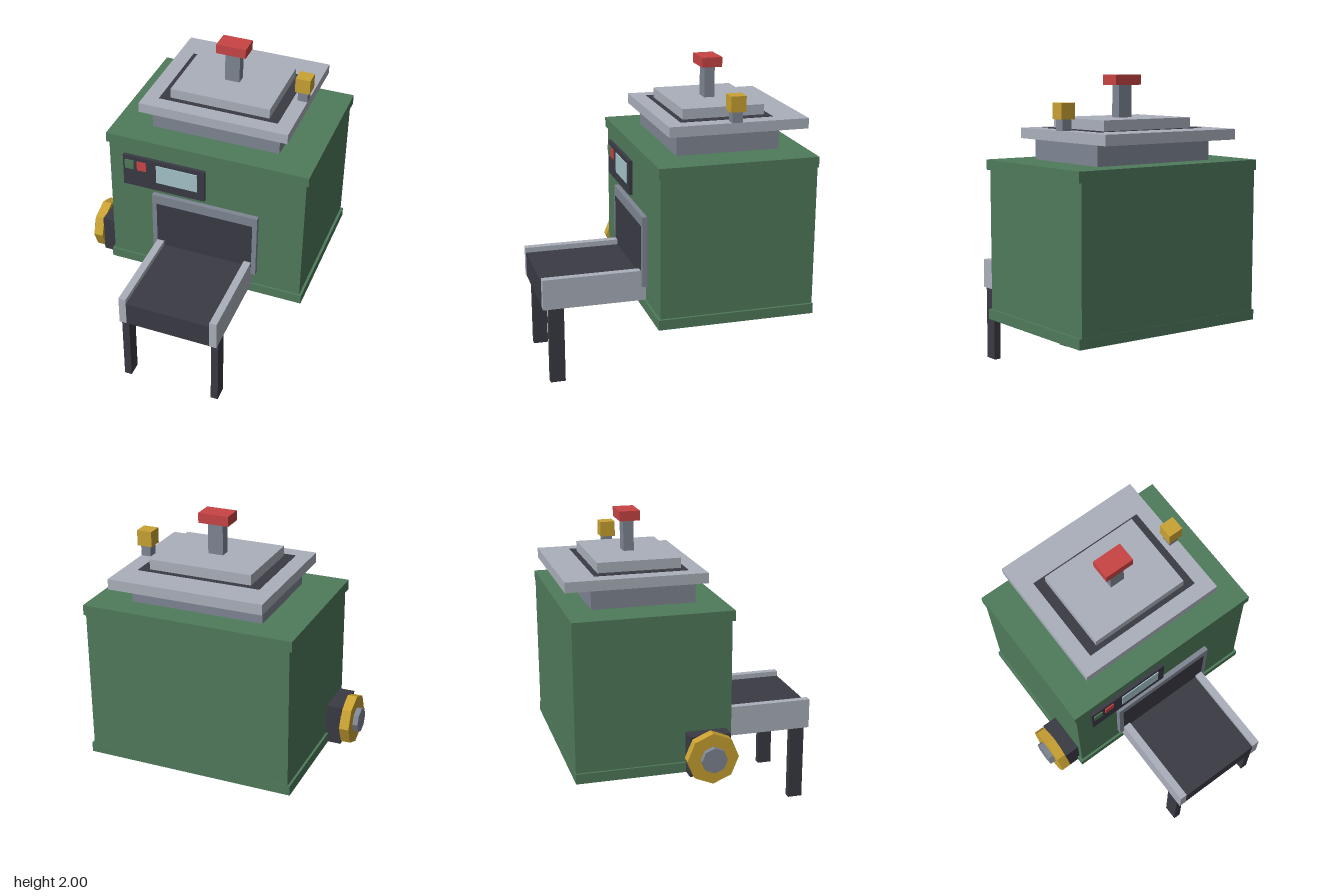
import * as THREE from 'three';

const material = (name, color) => {
  const m = new THREE.MeshStandardMaterial({ color });
  m.name = name;
  return m;
};

export function createModel() {
  const green = material('greenPaint', 0x4f7a5b);
  const light = material('lightSteel', 0xabb0bb);
  const steel = material('steel', 0x7f8693);
  const dark = material('darkIron', 0x3a3a44);
  const brass = material('brass', 0xc9a233);
  const red = material('red', 0xc94444);
  const glass = material('screenGlass', 0xa5c3ca);

  const model = new THREE.Group();
  model.name = 'machine';

  // Box given by its minimum and maximum on each axis
  const box = (name, mat, [x0, x1], [y0, y1], [z0, z1]) => {
    const mesh = new THREE.Mesh(new THREE.BoxGeometry(x1 - x0, y1 - y0, z1 - z0), mat);
    mesh.position.set((x0 + x1) / 2, (y0 + y1) / 2, (z0 + z1) / 2);
    mesh.name = name;
    model.add(mesh);
    return mesh;
  };

  // Eight-sided disc with its axis along x
  const disc = (name, mat, radius, [x0, x1]) => {
    const geometry = new THREE.CylinderGeometry(radius, radius, x1 - x0, 8).toNonIndexed();
    geometry.computeVertexNormals();
    const mesh = new THREE.Mesh(geometry, mat);
    mesh.rotation.z = Math.PI / 2;
    mesh.position.set((x0 + x1) / 2, 0.57, 0);
    mesh.name = name;
    model.add(mesh);
  };

  // Cabinet with a lower and an upper rim, flush at the back
  box('cabinet', green, [-0.58, 0.755], [0.45, 1.46], [-0.833, 0.167]);
  box('lowerRim', green, [-0.595, 0.772], [0.437, 0.502], [-0.835, 0.182]);
  box('upperRim', green, [-0.595, 0.772], [1.402, 1.468], [-0.835, 0.182]);

  // Hopper on top
  box('hopperNeck', steel, [-0.343, 0.52], [1.468, 1.602], [-0.665, 0]);
  box('hopperFlange', light, [-0.41, 0.588], [1.602, 1.668], [-0.835, 0.065]);
  box('hopperOpening', dark, [-0.31, 0.49], [1.667, 1.67], [-0.635, -0.035]);
  box('hopperLid', light, [-0.243, 0.425], [1.668, 1.735], [-0.6, -0.067]);
  box('lidStem', steel, [0.041, 0.14], [1.735, 1.937], [-0.367, -0.299]);
  box('lidHandle', red, [-0.01, 0.188], [1.937, 2], [-0.4, -0.268]);

  // Valve on the flange
  box('valveStem', steel, [0.523, 0.588], [1.668, 1.737], [-0.4, -0.333]);
  box('valveKnob', brass, [0.506, 0.604], [1.737, 1.836], [-0.416, -0.318]);

  // Control panel
  box('controlPanel', dark, [-0.478, 0.09], [1.105, 1.334], [0.16, 0.19]);
  box('startButton', green, [-0.463, -0.4], [1.238, 1.303], [0.189, 0.198]);
  box('stopButton', red, [-0.378, -0.313], [1.238, 1.303], [0.189, 0.198]);
  box('screen', glass, [-0.244, 0.04], [1.17, 1.303], [0.189, 0.196]);

  // Outlet doorway
  box('doorFrame', steel, [-0.275, 0.455], [0.602, 1.069], [0.16, 0.2]);
  box('doorOpening', dark, [-0.243, 0.423], [0.6, 1.002], [0.194, 0.202]);

  // Outfeed conveyor with side rails and legs
  box('conveyorBelt', dark, [-0.195, 0.374], [0.502, 0.668], [0.16, 0.833]);
  for (const [side, x0] of [['right', -0.243], ['left', 0.374]]) {
    box(side + 'Rail', light, [x0, x0 + 0.049], [0.502, 0.702], [0.16, 0.835]);
    box(side + 'Leg', dark, [x0, x0 + 0.049], [0, 0.502], [0.703, 0.8]);
  }

  // Hand wheel on the right side
  box('wheelMount', dark, [-0.68, -0.575], [0.438, 0.702], [-0.132, 0.132]);
  disc('handWheel', brass, 0.166, [-0.742, -0.678]);
  disc('wheelHub', steel, 0.083, [-0.777, -0.74]);

  return model;
}
